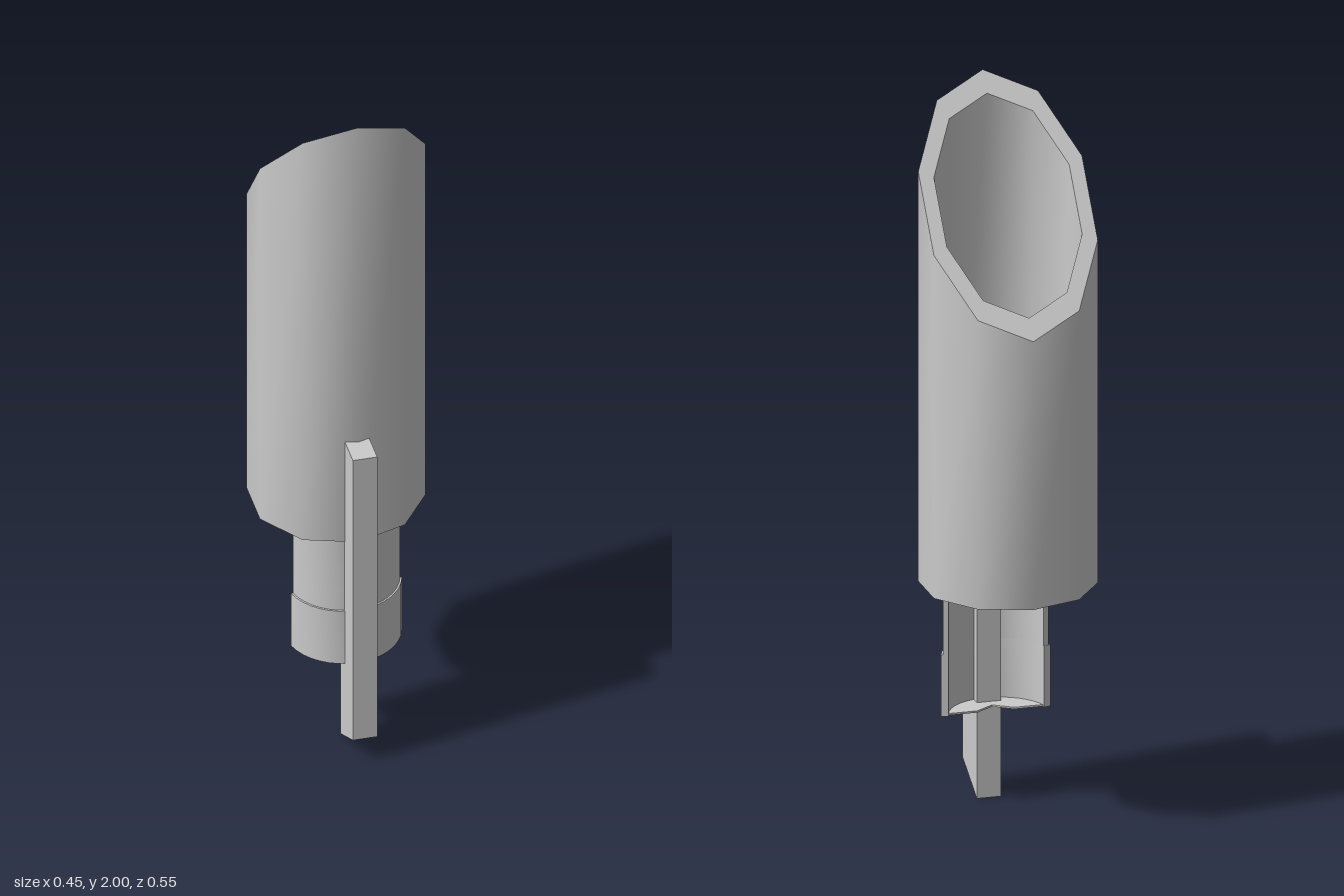
import * as THREE from 'three';
import { toCreasedNormals } from 'three/addons/utils/BufferGeometryUtils.js';

const SIDES = 10;
const material = new THREE.MeshStandardMaterial({ color: 0xcccccc, side: THREE.DoubleSide });

function addPart(group, name, geometry) {
  const mesh = new THREE.Mesh(toCreasedNormals(geometry, 0.68), material);
  mesh.name = name;
  group.add(mesh);
  return mesh;
}

// Ten-sided ring; height is a function of z so the mouth can slant
function ring(radius, centreZ, height) {
  return Array.from({ length: SIDES }, (_, i) => {
    const t = (i / SIDES) * Math.PI * 2;
    const z = centreZ + radius * Math.cos(t);
    return [radius * Math.sin(t), height(z), z];
  });
}

// Skin consecutive rings into one surface
function skin(rings) {
  const index = [];
  for (let r = 0; r < rings.length - 1; r++) {
    for (let i = 0; i < SIDES; i++) {
      const j = (i + 1) % SIDES;
      const a = r * SIDES + i, b = r * SIDES + j;
      const c = b + SIDES, d = a + SIDES;
      if (r > 0) index.push(a, b, c);
      if (r === 0) index.push(a, c, d);
      else if (r < rings.length - 2) index.push(a, c, d);
    }
  }
  const geometry = new THREE.BufferGeometry();
  geometry.setAttribute('position', new THREE.Float32BufferAttribute(rings.flat(2), 3));
  geometry.setIndex(index);
  geometry.computeVertexNormals();
  return geometry;
}

// Extrude a plan outline (x, z) downwards from top to bottom
function planExtrude(shape, top, bottom) {
  const geometry = new THREE.ExtrudeGeometry(shape, {
    depth: top - bottom, bevelEnabled: false, curveSegments: 8,
  });
  return geometry.rotateX(Math.PI / 2).translate(0, top, 0);
}

// Curved wall, open towards the back
function arcWall(radius, thickness) {
  const centre = 0.035;
  const start = Math.asin((0.075 - centre) / radius);
  const shape = new THREE.Shape();
  shape.absarc(0, centre, radius, start, Math.PI - start, false);
  shape.absarc(0, centre, radius - thickness, Math.PI - start, start, true);
  shape.closePath();
  return shape;
}

export function createModel() {
  const model = new THREE.Group();
  model.name = 'slantedTube';

  // Hollow body with a slanted mouth and a slightly tapered bore
  const mid = -0.0385;
  const slant = (z) => 2 + (z - 0.197) * (0.6 / 0.471);
  const flat = (y) => () => y;
  addPart(model, 'body', skin([
    ring(0, mid, flat(0.656)),
    ring(0.2355, mid, flat(0.656)),
    ring(0.2355, mid, slant),
    ring(0.1945, mid, slant),
    ring(0.177, -0.029, flat(0.72)),
    ring(0, -0.029, flat(0.72)),
  ]));

  // Curved skirt hanging below the body, a little wider at its lower half
  addPart(model, 'upperSkirt', planExtrude(arcWall(0.15, 0.015), 0.66, 0.43));
  addPart(model, 'lowerSkirt', planExtrude(arcWall(0.155, 0.02), 0.43, 0.26));

  // Thin floor of the skirt with a notch in its back edge
  const floor = new THREE.Shape();
  const start = Math.asin(0.04 / 0.153);
  floor.absarc(0, 0.035, 0.153, start, Math.PI - start, false);
  floor.lineTo(-0.05, 0.075);
  floor.lineTo(0, 0.11);
  floor.lineTo(0.05, 0.075);
  floor.closePath();
  addPart(model, 'skirtFloor', planExtrude(floor, 0.266, 0.261));

  // Upright bar with a slanted foot, from its side profile (z, y)
  const profile = new THREE.Shape([
    [0.138, 0], [0.273, 0.073], [0.273, 0.98], [0.138, 0.98],
  ].map(([z, y]) => new THREE.Vector2(z, y)));
  const bar = new THREE.ExtrudeGeometry(profile, { depth: 0.066, bevelEnabled: false });
  bar.translate(0, 0, -0.033).rotateY(-Math.PI / 2);
  addPart(model, 'frontBar', bar);

  return model;
}
